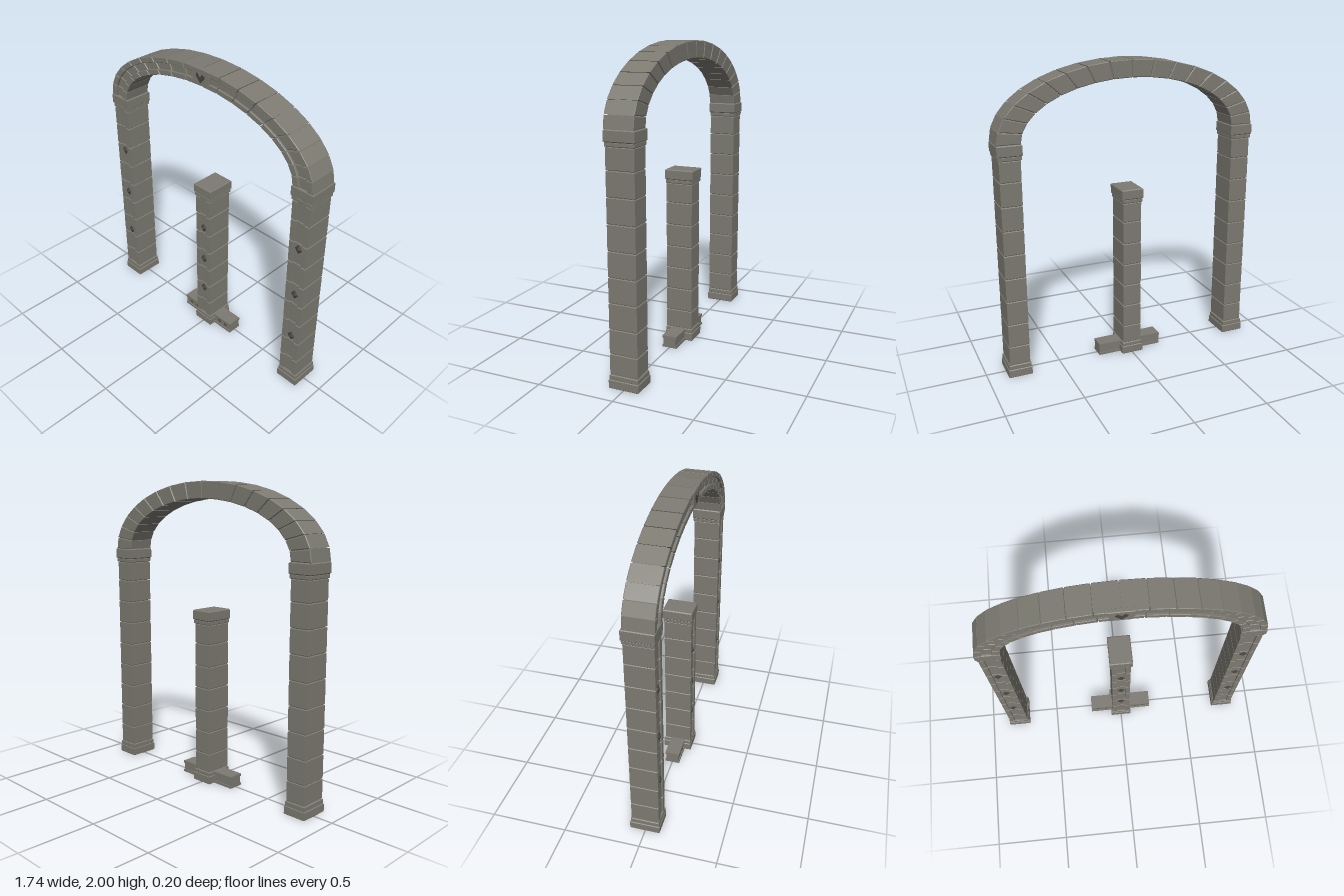
import * as THREE from 'three';

const stone = new THREE.MeshStandardMaterial({ color: 0x7c7a71 });
stone.name = 'weathered stone';
const dark = new THREE.MeshStandardMaterial({ color: 0x454440 });
dark.name = 'dark stone';

function add(parent, name, geometry, material = stone) {
  const mesh = new THREE.Mesh(geometry, material);
  mesh.name = name;
  parent.add(mesh);
  return mesh;
}

// Outline extruded to an exact depth with a small chamfer kept inside it
function slab(points, depth, bevel = 0.004) {
  const shape = new THREE.Shape(points.map(([x, y]) => new THREE.Vector2(x, y)));
  const geometry = new THREE.ExtrudeGeometry(shape, {
    depth: depth - 2 * bevel, bevelEnabled: true, bevelSize: bevel,
    bevelThickness: bevel, bevelOffset: -bevel, bevelSegments: 1,
  });
  return geometry.translate(0, 0, bevel);
}

// Plan outline (x, z) raised from y0 to y1
function rise(plan, y0, y1, bevel) {
  return slab(plan.map(([x, z]) => [x, -z]), y1 - y0, bevel).rotateX(-Math.PI / 2).translate(0, y0, 0);
}

const rect = (w, z0, z1) => [[-w, z0], [w, z0], [w, z1], [-w, z1]];

function box(x0, x1, y0, y1, z0, z1) {
  return new THREE.BoxGeometry(x1 - x0, y1 - y0, z1 - z0)
    .translate((x0 + x1) / 2, (y0 + y1) / 2, (z0 + z1) / 2);
}

function diamond(x, y, z, w, h, d) {
  return new THREE.OctahedronGeometry(1, 0).scale(w, h, d).translate(x, y, z);
}

// Stacked column: foot, grooved blocks, capital and a row of studs
function column(name, w, joints, capTop, studs) {
  const group = new THREE.Group();
  group.name = name;
  const top = joints[joints.length - 1];
  const wide = w + 0.011;
  const groove = w * 0.48;
  add(group, 'foot', rise(rect(wide, -0.1, 0.096), 0, 0.055));
  add(group, 'footStep', rise(rect(w + 0.006, -0.096, 0.092), 0.053, joints[0]));
  add(group, 'core', box(-w + 0.007, w - 0.007, 0.05, top + 0.02, -0.085, 0.074));
  const plan = [[-w, -0.091], [w, -0.091], [w, 0.09], [groove, 0.09], [groove, 0.08],
    [-groove, 0.08], [-groove, 0.09], [-w, 0.09]];
  for (let i = 0; i < joints.length - 1; i++) {
    add(group, 'block', rise(plan, joints[i] + 0.002, joints[i + 1] - 0.002, 0.003));
  }
  add(group, 'neck', rise(rect(w + 0.006, -0.096, 0.092), top, top + 0.027));
  add(group, 'capital', rise(rect(wide + 0.001, -0.1, 0.096), top + 0.025, capTop, 0.006));
  for (const y of studs) add(group, 'stud', diamond(0, y, 0.081, 0.028, 0.034, 0.014), dark);
  return group;
}

// Point on the arch: t from the crown, f from inner (0) to outer (1) edge
const SPRING = 1.535;
function archPoint(t, f) {
  return [(0.72 + 0.15 * f) * Math.sin(t), SPRING + (0.355 + 0.11 * f) * Math.cos(t)];
}

function wedge(t0, t1, f0, f1) {
  return [archPoint(t0, f0), archPoint(t1, f0), archPoint(t1, f1), archPoint(t0, f1)];
}

function makeArch() {
  const group = new THREE.Group();
  group.name = 'arch';
  const step = Math.PI / 18;
  const gap = 0.004;
  for (let i = -9; i < 9; i++) {
    const a = i * step, b = a + step;
    add(group, 'archCore', slab(wedge(a, b, 0.06, 0.94), 0.16, 0.001).translate(0, 0, -0.085));
    add(group, 'archStone', slab(wedge(a + gap, b - gap, 0, 1), 0.174).translate(0, 0, -0.092));
    // raised outer and inner mouldings on the front
    for (const [f0, f1] of [[0.7, 1], [0, 0.3]]) {
      add(group, 'archMoulding', slab(wedge(a + gap, b - gap, f0, f1), 0.026, 0.003).translate(0, 0, 0.07));
    }
  }
  // keystone with its heart relief
  const key = [[-0.063, 1.892], [0.063, 1.892], [0.078, 1.997], [0.03, 2], [-0.03, 2], [-0.078, 1.997]];
  add(group, 'keystone', slab(key, 0.03).translate(0, 0, 0.07));
  const heart = [[0, 1.908], [0.036, 1.948], [0.034, 1.965], [0.02, 1.974], [0, 1.95],
    [-0.02, 1.974], [-0.034, 1.965], [-0.036, 1.948]];
  add(group, 'heart', slab(heart, 0.008, 0.002).translate(0, 0, 0.095), dark);
  return group;
}

// Low plinth arm beside the middle column
function makeArm(side) {
  const group = new THREE.Group();
  group.name = side > 0 ? 'leftArm' : 'rightArm';
  const span = side > 0 ? [0.05, 0.225] : [-0.225, -0.05];
  add(group, 'armBottom', box(...span, 0, 0.016, -0.05, 0.05));
  add(group, 'armBody', box(...span, 0.014, 0.064, -0.043, 0.042));
  add(group, 'armTop', box(...span, 0.062, 0.08, -0.05, 0.05));
  for (const x of [0.115, 0.172]) {
    add(group, 'armStud', diamond(side * x, 0.039, 0.042, 0.016, 0.016, 0.008), dark);
  }
  return group;
}

export function createModel() {
  const model = new THREE.Group();
  model.name = 'stoneArchway';
  const tall = [0.085, 0.215, 0.37, 0.53, 0.685, 0.842, 1.0, 1.155, 1.307, 1.44];
  for (const side of [-1, 1]) {
    const pillar = column(side > 0 ? 'leftPillar' : 'rightPillar', 0.067, tall, 1.536, [0.407, 0.76, 1.113]);
    pillar.position.x = side * 0.793;
    model.add(pillar, makeArm(side));
  }
  const short = [0.08, 0.205, 0.358, 0.506, 0.655, 0.803, 0.953, 1.083];
  model.add(column('middlePillar', 0.063, short, 1.175, [0.317, 0.58, 0.845]));
  model.add(makeArch());
  return model;
}
